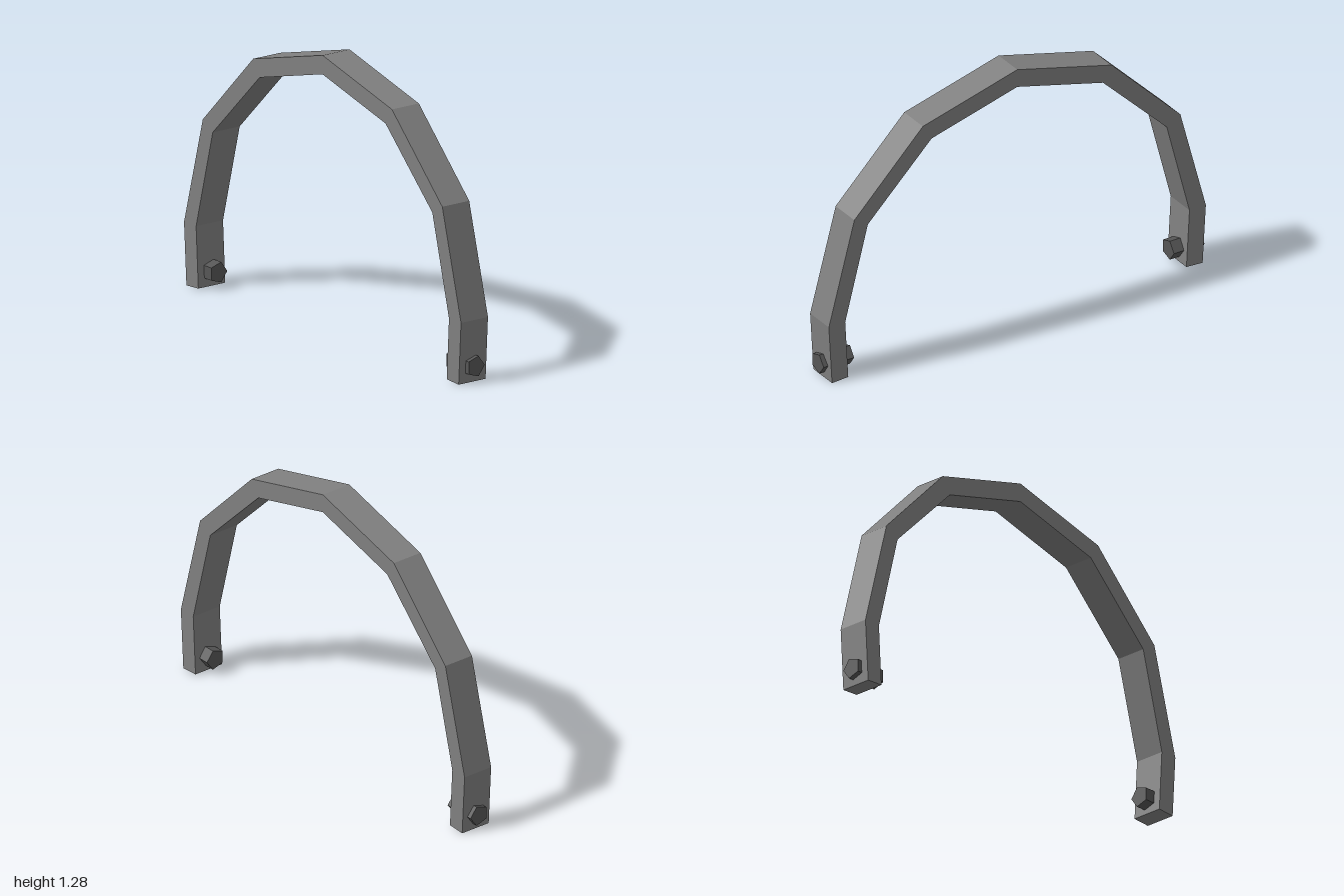
import * as THREE from 'three';

const bandGrey = new THREE.MeshStandardMaterial({ name: 'bandGrey', color: 0x808080 });
const pinGrey = new THREE.MeshStandardMaterial({ name: 'pinGrey', color: 0x565656 });

// Flat-faced bar of constant section, extruded and centred along its depth
function prism(points, depth) {
  const shape = new THREE.Shape(points.map(([x, y]) => new THREE.Vector2(x, y)));
  return new THREE.ExtrudeGeometry(shape, { depth, bevelEnabled: false }).translate(0, 0, -depth / 2);
}

export function createModel() {
  const model = new THREE.Group();
  model.name = 'archedHandle';

  // Faceted arch: half profiles from foot to crown, mirrored in x
  const outer = [[0.973, 0], [0.99, 0.287], [0.856, 0.788], [0.496, 1.15]];
  const inner = [[0.888, 0.005], [0.904, 0.287], [0.785, 0.745], [0.45, 1.075]];
  const mirror = (half) => half.map(([x, y]) => [-x, y]).reverse();
  const profile = [
    ...outer, [0, 1.282], ...mirror(outer),
    ...mirror(inner).reverse(), [0, 1.195], ...[...inner].reverse(),
  ];
  const arch = new THREE.Mesh(prism(profile, 0.15), bandGrey);
  arch.name = 'archBand';
  model.add(arch);

  // Five-sided pivot pin through each foot, with one corner towards the back
  const pentagon = Array.from({ length: 5 }, (_, i) => {
    const a = (i / 5) * Math.PI * 2;
    return [0.049 * Math.cos(a), 0.049 * Math.sin(a)];
  });
  const pinGeometry = prism(pentagon, 0.16).rotateY(Math.PI / 2);
  for (const side of [-1, 1]) {
    const pin = new THREE.Mesh(pinGeometry, pinGrey);
    pin.name = side > 0 ? 'leftPivotPin' : 'rightPivotPin';
    pin.position.set(side * 0.92, 0.075, 0);
    model.add(pin);
  }
  return model;
}
